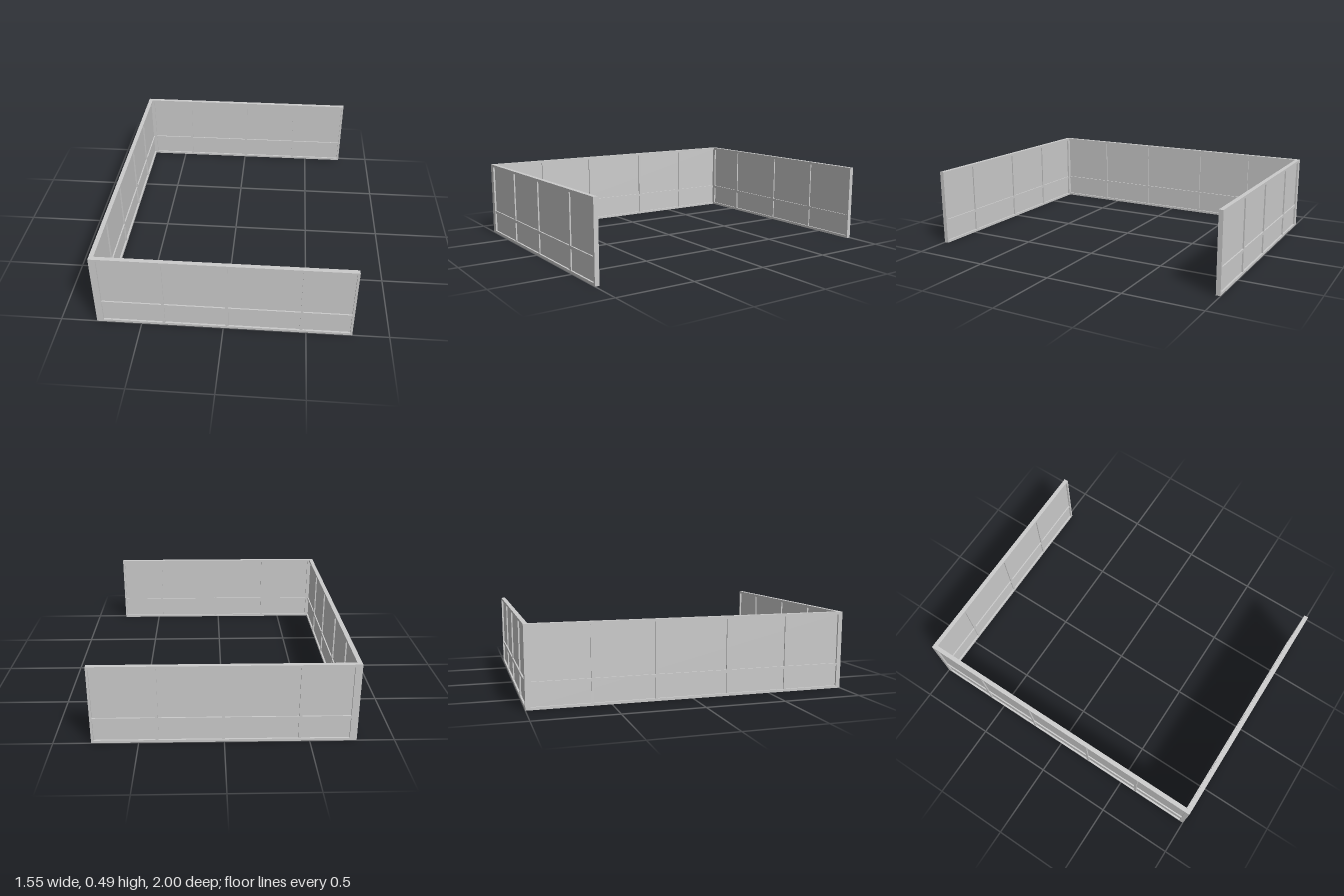
import * as THREE from 'three';

const H = 0.492, T = 0.028, RAIL = 0.016, BAR = 0.017;
const material = new THREE.MeshStandardMaterial({ color: 0xcccccc });

function box(group, name, w, h, d, x, y, z = 0) {
  const mesh = new THREE.Mesh(new THREE.BoxGeometry(w, h, d), material);
  mesh.name = name;
  mesh.position.set(x, y, z);
  group.add(mesh);
}

// One framed glass wall running along its local x axis, outer face towards +z
function glazedWall(name, length, postWidth, mullions) {
  const wall = new THREE.Group();
  wall.name = name;
  const inner = H - 2 * RAIL;
  box(wall, 'bottomRail', length, RAIL, T, 0, RAIL / 2);
  box(wall, 'topRail', length, RAIL, T, 0, H - RAIL / 2);
  for (const s of [-1, 1])
    box(wall, 'endPost', postWidth, inner, T, s * (length - postWidth) / 2, H / 2);
  box(wall, 'glass', length - 2 * postWidth, inner, 0.005, 0, H / 2);
  for (const x of mullions) box(wall, 'mullion', BAR, inner, T * 0.8, x, H / 2);

  // Crossbar pieces between the uprights
  const edge = length / 2 - postWidth;
  const stops = [-edge, ...mullions, edge];
  for (let i = 0; i < stops.length - 1; i++) {
    const a = stops[i] + (i > 0 ? BAR / 2 : 0);
    const b = stops[i + 1] - (i < stops.length - 2 ? BAR / 2 : 0);
    box(wall, 'crossbar', b - a, 0.018, T * 0.8, (a + b) / 2, 0.153);
  }
  return wall;
}

export function createModel() {
  const model = new THREE.Group();
  model.name = 'glassEnclosure';
  const halfX = 0.777;
  const sideLength = 2 * halfX - T;
  const mullions = [-0.378, 0.008, 0.455];

  // Front wall and the back wall, which is the same wall turned half round
  const front = glazedWall('frontWall', sideLength, 0.014, mullions);
  front.position.set(T / 2, 0, 1 - T / 2);
  const back = glazedWall('backWall', sideLength, 0.014, mullions);
  back.rotation.y = Math.PI;
  back.position.set(T / 2, 0, -1 + T / 2);

  // Long wall joining the two
  const long = glazedWall('longWall', 2, T, [-0.612, -0.225, 0.225, 0.612]);
  long.rotation.y = -Math.PI / 2;
  long.position.x = -halfX + T / 2;

  model.add(front, back, long);
  return model;
}
